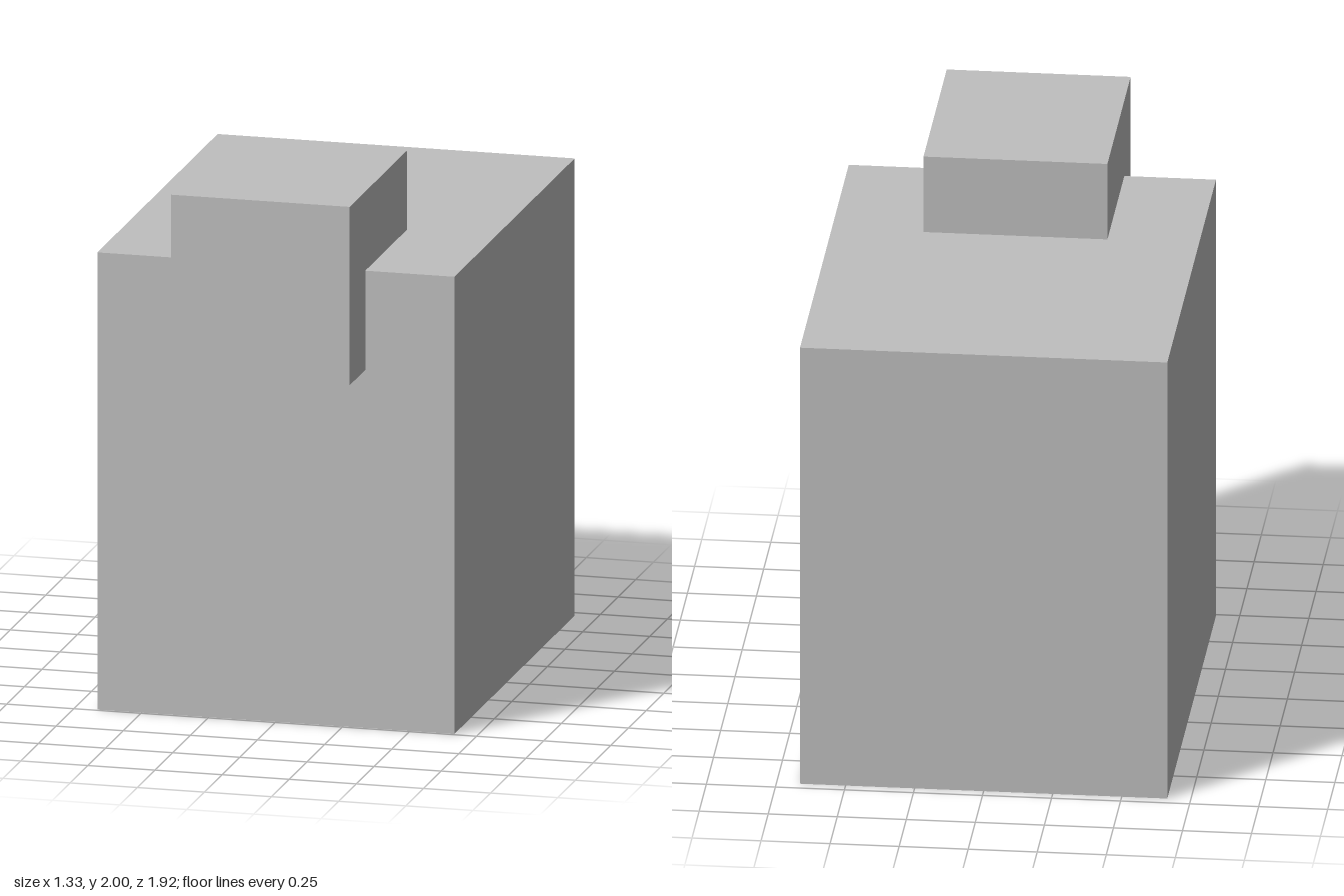
import * as THREE from 'three';

// Box given by its minimum and maximum corners
function block(name, min, max, material) {
  const size = max.map((v, i) => v - min[i]);
  const mesh = new THREE.Mesh(new THREE.BoxGeometry(...size), material);
  mesh.position.set(...min.map((v, i) => (v + max[i]) / 2));
  mesh.name = name;
  return mesh;
}

export function createModel() {
  const grey = new THREE.MeshStandardMaterial({ color: 0xbfbfbf });
  grey.name = 'light grey';

  const model = new THREE.Group();
  model.name = 'blockFigure';

  // Large upright body
  model.add(block('body', [-0.665, 0, -0.96], [0.665, 1.705, 0.74], grey));
  // Smaller head, sunk into the top front edge of the body
  model.add(block('head', [-0.333, 1.335, 0.15], [0.333, 2, 0.96], grey));

  return model;
}
